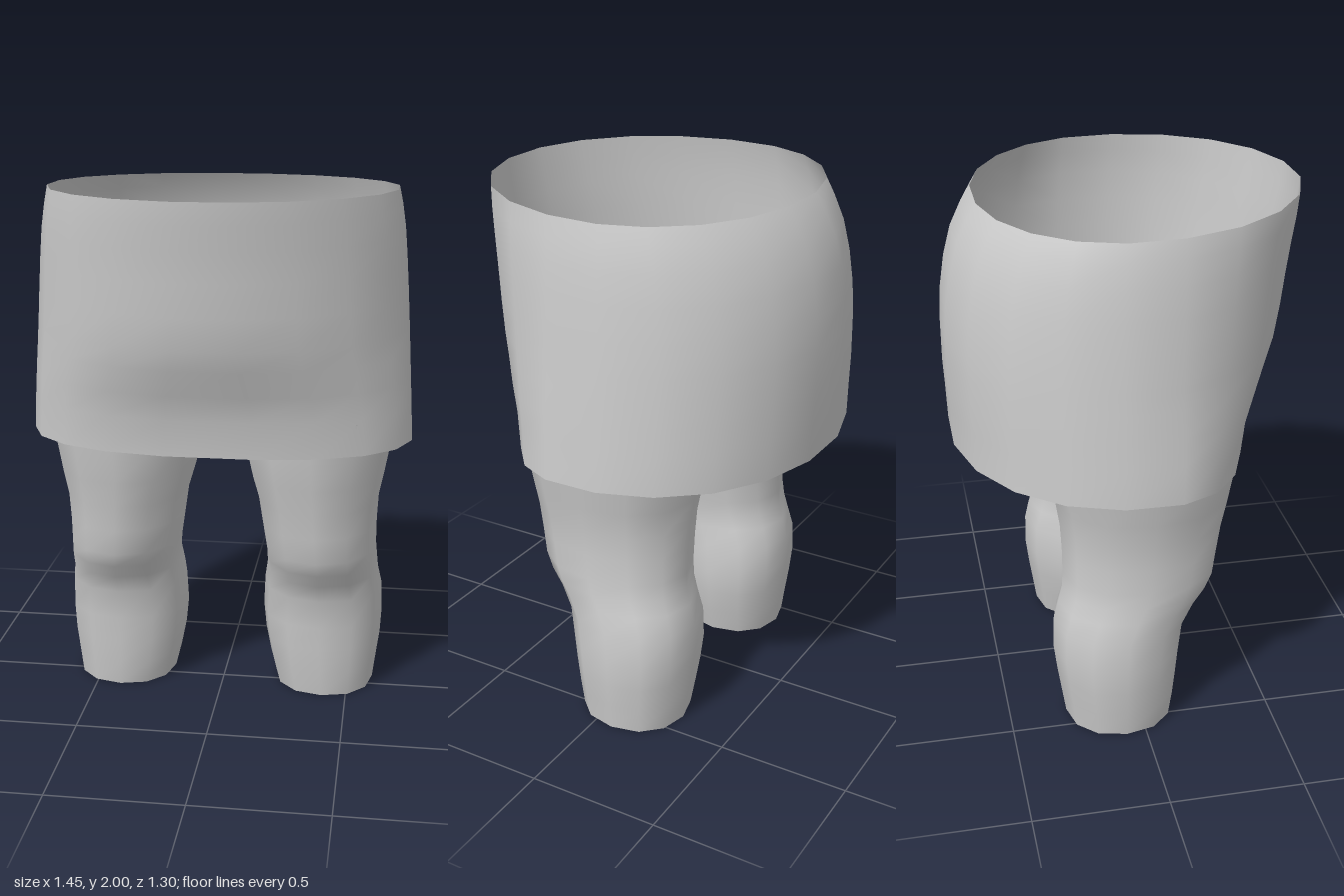
import * as THREE from 'three';

// Skins a list of point rings into a smooth surface.
function loft(rings, closed, material, name) {
  const n = rings[0].length;
  const index = [];
  for (let j = 0; j < rings.length - 1; j++) {
    for (let i = 0; i < (closed ? n : n - 1); i++) {
      const a = j * n + i, b = j * n + (i + 1) % n;
      index.push(a, a + n, b, b, a + n, b + n);
    }
  }
  const geometry = new THREE.BufferGeometry();
  geometry.setAttribute('position', new THREE.Float32BufferAttribute(rings.flat(2), 3));
  geometry.setIndex(index);
  geometry.computeVertexNormals();
  const mesh = new THREE.Mesh(geometry, material);
  mesh.name = name;
  return mesh;
}

const power = (v, e) => Math.sign(v) * Math.pow(Math.abs(v), e);
const mirror = ([x, y, z]) => [-x, y, z];

// Skirt sections: height, half width, front z, back z
const SKIRT = [
  [1.06, 0.73, 0.425, 0.645], [1.2, 0.722, 0.445, 0.65], [1.3, 0.716, 0.49, 0.655],
  [1.4, 0.71, 0.535, 0.655], [1.48, 0.705, 0.57, 0.655], [1.6, 0.697, 0.595, 0.647],
  [1.72, 0.688, 0.612, 0.628], [1.83, 0.678, 0.63, 0.598], [1.92, 0.664, 0.648, 0.555],
  [1.985, 0.65, 0.66, 0.52],
];

function skirtPoint([y, w, front, back], angle) {
  const c = Math.cos(angle), s = Math.sin(angle);
  // The front is squarer where it is shallow
  const e = s > 0 ? 0.8 + 0.2 * THREE.MathUtils.smoothstep(front, 0.42, 0.6) : 0.96;
  const z = power(s, e) * (s > 0 ? front : back);
  return [power(c, e) * w, y > 1.95 ? y + 0.022 * z : y, z];
}

// Leg sections: height, inner x, outer x, front z, back z
const LEG = [
  [0, 0.21, 0.6, 0.13, -0.28], [0.1, 0.185, 0.612, 0.145, -0.295],
  [0.2, 0.165, 0.625, 0.155, -0.31], [0.3, 0.155, 0.63, 0.165, -0.322],
  [0.42, 0.16, 0.625, 0.18, -0.32], [0.5, 0.172, 0.61, 0.225, -0.3],
  [0.56, 0.172, 0.605, 0.27, -0.285], [0.62, 0.165, 0.6, 0.3, -0.28],
  [0.72, 0.15, 0.6, 0.315, -0.28], [0.82, 0.135, 0.605, 0.33, -0.285],
  [0.92, 0.105, 0.625, 0.35, -0.3], [1.06, 0.075, 0.65, 0.375, -0.335],
  [1.13, 0.068, 0.665, 0.39, -0.36],
];
const LEG_SIDES = 12;

function legRing([y, inner, outer, front, back], last) {
  return Array.from({ length: LEG_SIDES }, (_, i) => {
    const a = i / LEG_SIDES * Math.PI * 2;
    const x = (inner + outer) / 2 + (outer - inner) / 2 * power(Math.cos(a), 0.92);
    const z = (front + back) / 2 + (front - back) / 2 * power(Math.sin(a), 0.92);
    return [x, last ? y + 0.4 * z * z : y, z];
  });
}

export function createModel() {
  const group = new THREE.Group();
  const grey = new THREE.MeshStandardMaterial({ color: 0xcccccc, side: THREE.DoubleSide });
  grey.name = 'light grey';

  // Skirt: open at the waist and hem
  const skirtRings = SKIRT.map(section =>
    Array.from({ length: 20 }, (_, i) => skirtPoint(section, (i + 0.5) / 20 * Math.PI * 2)));
  group.add(loft(skirtRings, true, grey, 'skirt'));

  // Legs: open tubes
  const rings = LEG.map((section, j) => legRing(section, j === LEG.length - 1));
  group.add(loft(rings, true, grey, 'leftLeg'));
  group.add(loft(rings.map(r => r.map(mirror).reverse()), true, grey, 'rightLeg'));

  // Crotch: saddle between the inner edges of the leg tops
  const top = rings[rings.length - 1];
  const saddle = top.slice(4, 9).map(p => [mirror(p), [0, p[1] + 0.01, p[2] * 1.08], p]);
  group.add(loft(saddle, false, grey, 'crotch'));

  // Hips: from the outline of both leg tops out to the inside of the skirt
  const half = Array.from({ length: 9 }, (_, k) => top[(k + 8) % LEG_SIDES]);
  const frontMiddle = saddle[0][1], backMiddle = saddle[4][1];
  const outline = [...half, frontMiddle, ...half.map(mirror).reverse(), backMiddle];
  const join = outline.map(([x, , z]) => {
    const section = z > 0 ? SKIRT[1] : SKIRT[2];
    const angle = Math.atan2(z / (z > 0 ? section[2] : section[3]), x / section[1]);
    const [px, py, pz] = skirtPoint(section, angle);
    return [px * 0.985, py, pz * 0.985];
  });
  group.add(loft([outline, join], true, grey, 'hips'));

  return group;
}
